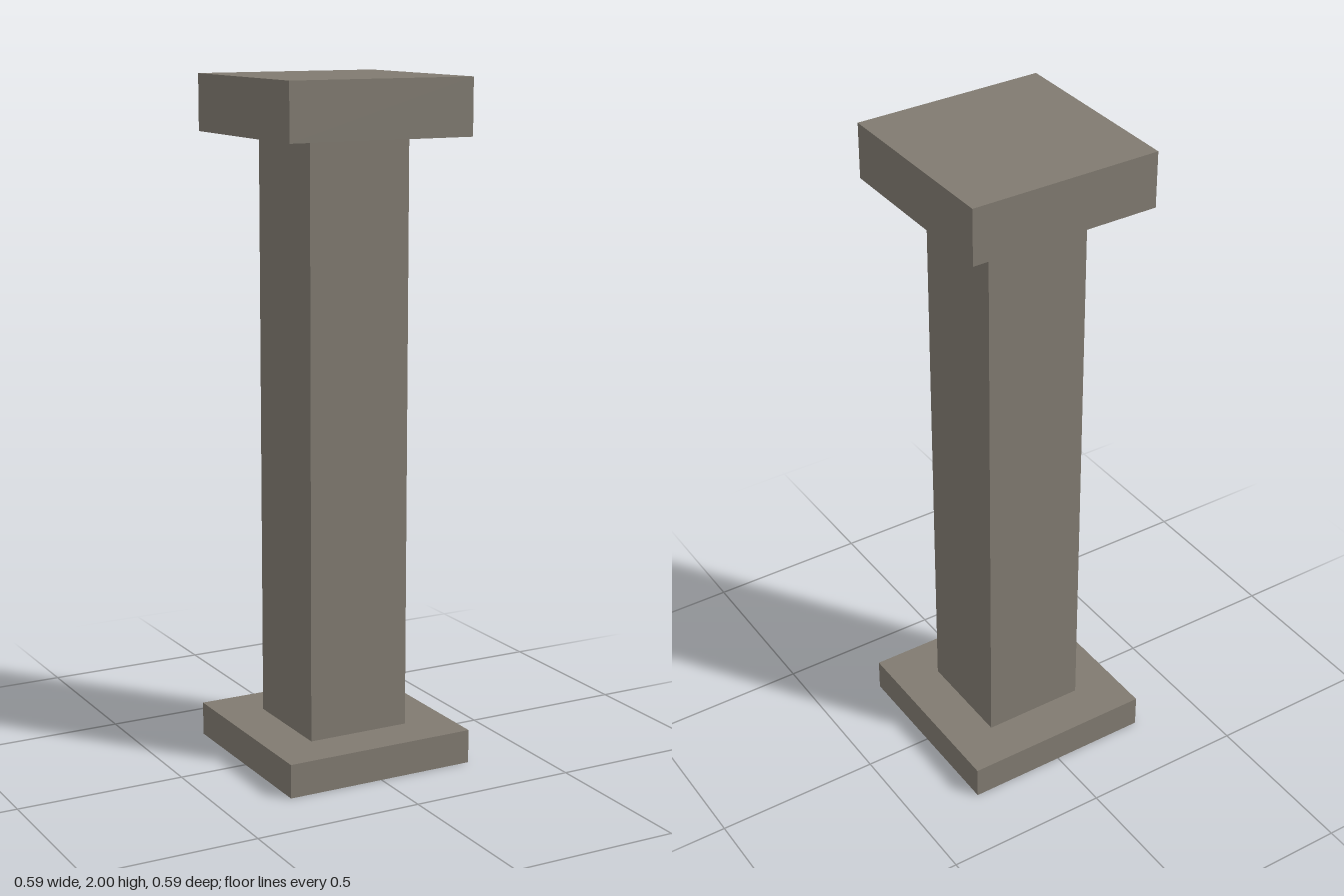
import * as THREE from 'three';

export function createModel() {
  const group = new THREE.Group();
  group.name = 'pillar';
  const stone = new THREE.MeshStandardMaterial({ color: 0x807a70 });

  // Square block between two heights
  function block(name, width, bottom, top) {
    const mesh = new THREE.Mesh(new THREE.BoxGeometry(width, top - bottom, width), stone);
    mesh.name = name;
    mesh.position.y = (bottom + top) / 2;
    group.add(mesh);
  }

  block('base', 0.588, 0, 0.1);
  block('shaft', 0.314, 0.1, 1.835);
  block('capital', 0.572, 1.835, 2);

  return group;
}
